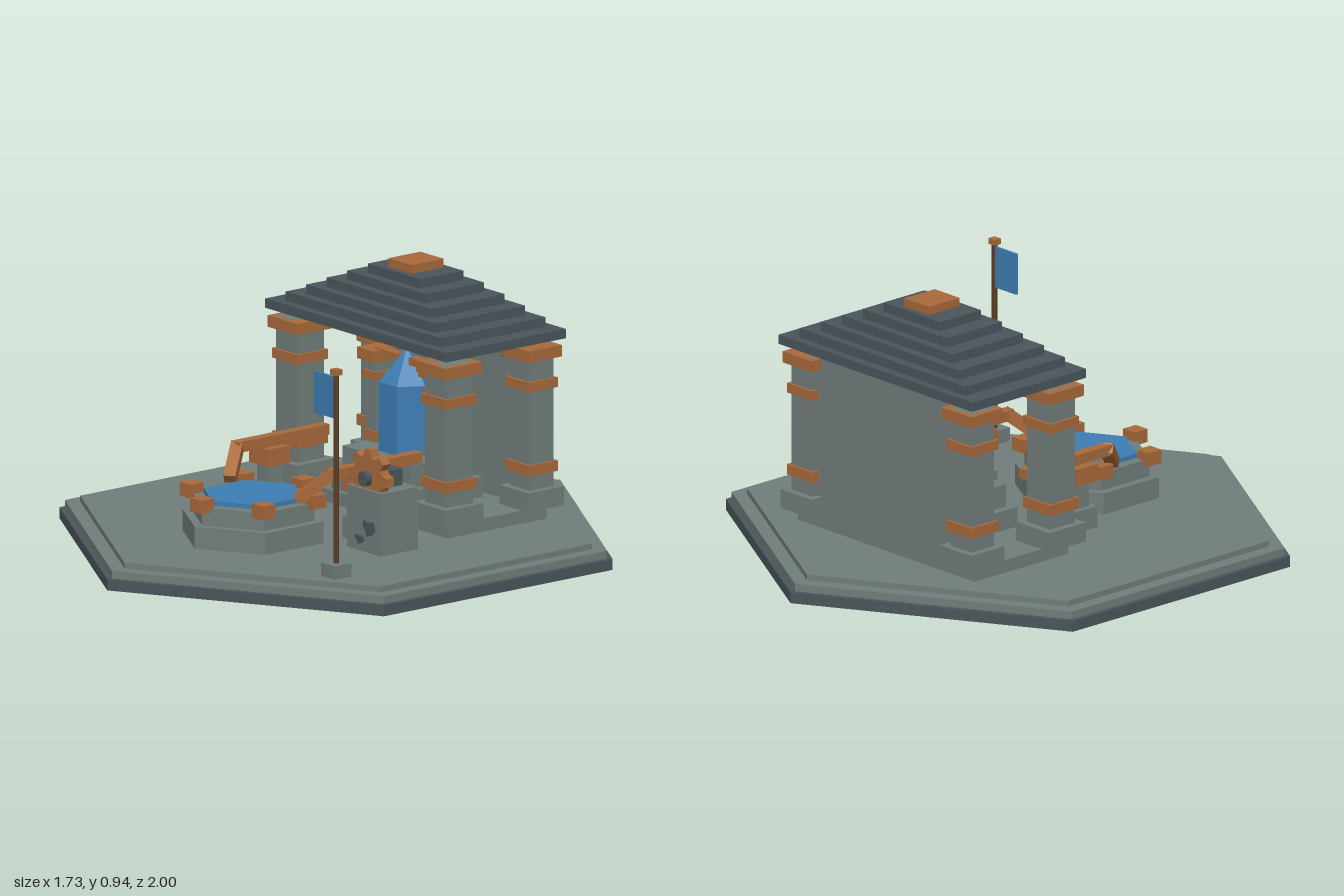
import * as THREE from 'three';

const mat = (name, color) => {
  const m = new THREE.MeshStandardMaterial({ color });
  m.name = name;
  return m;
};

export function createModel() {
  const stone = mat('grey stone', 0x717d7a);
  const slate = mat('dark slate', 0x4a555b);
  const copper = mat('copper', 0xa8693a);
  const blue = mat('blue', 0x3d7db3);
  const wood = mat('dark wood', 0x5c3c25);
  const model = new THREE.Group();
  model.name = 'shrine';

  const add = (name, geo, m, x = 0, y = 0, z = 0, parent = model) => {
    const mesh = new THREE.Mesh(geo, m);
    mesh.name = name;
    mesh.position.set(x, y, z);
    parent.add(mesh);
    return mesh;
  };
  // box standing between heights y0 and y1
  const box = (name, m, x, z, w, d, y0, y1, parent) =>
    add(name, new THREE.BoxGeometry(w, y1 - y0, d), m, x, (y0 + y1) / 2, z, parent);
  // faceted prism or cone between heights y0 and y1
  const prism = (name, m, x, z, rTop, rBottom, y0, y1, sides = 6, turn = 0) => {
    const g = new THREE.CylinderGeometry(rTop, rBottom, y1 - y0, sides).toNonIndexed();
    g.computeVertexNormals();
    g.rotateY(turn);
    return add(name, g, m, x, (y0 + y1) / 2, z);
  };
  const group = (name) => {
    const g = new THREE.Group();
    g.name = name;
    model.add(g);
    return g;
  };

  // hexagonal ground slabs
  prism('baseEdge', slate, 0, 0, 1, 1, 0, 0.038);
  prism('baseSlab', stone, 0, 0, 0.98, 0.98, 0.038, 0.065);
  prism('basePaving', stone, 0, 0, 0.925, 0.925, 0.065, 0.085);

  // shrine floor and back wall
  box('shrineFloor', stone, 0, -0.345, 0.88, 0.43, 0.085, 0.13);
  box('backWall', stone, 0, -0.535, 0.8, 0.05, 0.13, 0.716);

  // four banded columns
  for (const s of [-1, 1]) {
    for (const [z, w, k] of [[-0.168, 0.115, 1], [-0.53, 0.105, 0.93]]) {
      const col = group('column');
      const x = s * 0.397;
      box('columnBase', stone, x, z, 0.167 * k, 0.167 * k, 0.13, 0.197, col);
      box('columnShaft', stone, x, z, w, w, 0.197, 0.69, col);
      for (const [bw, y0, y1] of [[0.135, 0.25, 0.287], [0.135, 0.543, 0.577], [0.157, 0.65, 0.69]])
        box('columnBand', copper, x, z, bw * k, bw * k, y0, y1, col);
    }
  }

  // stepped roof
  const tier = 0.0325;
  for (let i = 0; i < 6; i++)
    box('roofTier', slate, 0, -0.348, 2 * (0.483 - i * 0.0685), 2 * (0.262 - i * 0.0336),
      0.715 + i * tier, 0.715 + (i + 1) * tier);
  box('roofCap', copper, 0, -0.35, 0.124, 0.14, 0.91, 0.94);

  // pedestal with crystal
  box('pedestalStep', stone, 0, -0.31, 0.42, 0.32, 0.13, 0.2);
  box('pedestal', stone, 0, -0.31, 0.36, 0.27, 0.2, 0.28);
  prism('crystalBody', blue, 0, -0.31, 0.097, 0.097, 0.28, 0.52, 6, Math.PI / 6);
  prism('crystalTip', blue, 0, -0.31, 0, 0.097, 0.52, 0.638, 6, Math.PI / 6);

  // slim posts and arms around the crystal
  for (const s of [-1, 1]) {
    const post = group('crystalPost');
    const x = s * 0.163;
    box('postShaft', stone, x, -0.31, 0.055, 0.05, 0.28, 0.57, post);
    box('postFoot', copper, x, -0.31, 0.065, 0.062, 0.285, 0.32, post);
    box('postBand', copper, x, -0.31, 0.068, 0.068, 0.5, 0.528, post);
    box('postCap', copper, x, -0.31, 0.092, 0.095, 0.565, 0.605, post);
    box('postArm', copper, s * 0.09, -0.31, 0.12, 0.035, 0.583, 0.61, post);
  }

  // hexagonal basin
  const bz = 0.363;
  prism('basinFoot', stone, 0, bz, 0.255, 0.255, 0.085, 0.16);
  prism('basinRim', stone, 0, bz, 0.222, 0.222, 0.16, 0.222);
  prism('water', blue, 0, bz, 0.178, 0.178, 0.22, 0.238);
  for (let i = 0; i < 6; i++) {
    const a = (i * Math.PI) / 3;
    box('basinBlock', copper, Math.sin(a) * 0.222, bz + Math.cos(a) * 0.222, 0.058, 0.058, 0.208, 0.255);
  }

  // water channels: pier, level beam and sloping chute on each side
  for (const s of [-1, 1]) {
    const ch = group('channel');
    box('pierFoot', stone, s * 0.25, 0.085, 0.1, 0.1, 0.085, 0.16, ch);
    box('pier', stone, s * 0.25, 0.085, 0.06, 0.06, 0.16, 0.25, ch);
    box('pierCap', copper, s * 0.25, 0.085, 0.1, 0.1, 0.25, 0.31, ch);
    box('beam', copper, s * 0.248, 0.04, 0.037, 0.4, 0.31, 0.347, ch);
    const from = new THREE.Vector3(s * 0.255, 0.335, 0.22);
    const to = new THREE.Vector3(s * 0.178, 0.242, 0.318);
    const chute = add('chute', new THREE.BoxGeometry(0.042, 0.036, from.distanceTo(to)), copper, 0, 0, 0, ch);
    chute.position.copy(from).lerp(to, 0.5);
    chute.lookAt(to);
  }

  // gear stand, bearing and axle
  box('gearStand', stone, 0.398, 0.122, 0.18, 0.163, 0.085, 0.303);
  box('bearing', slate, 0.4, 0.105, 0.07, 0.08, 0.303, 0.362);
  const axle = new THREE.CylinderGeometry(0.026, 0.026, 0.13, 10).rotateX(Math.PI / 2);
  add('axle', axle, slate, 0.4, 0.34, 0.147);

  // eight-toothed gear
  const gear = new THREE.Shape();
  for (let i = 0; i < 8; i++) {
    for (const [da, r] of [[-0.29, 0.078], [-0.15, 0.101], [0.15, 0.101], [0.29, 0.078]]) {
      const a = (i * Math.PI) / 4 + da;
      const p = [Math.cos(a) * r, Math.sin(a) * r];
      if (i === 0 && da === -0.29) gear.moveTo(...p);
      else gear.lineTo(...p);
    }
  }
  add('gear', new THREE.ExtrudeGeometry(gear, { depth: 0.034, bevelEnabled: false }), copper, 0.4, 0.34, 0.156);

  // thin irregular weathered patches
  const patch = (x, y, z, w, h) => {
    const pts = [[-0.5, 0.1], [-0.3, -0.1], [-0.15, -0.5], [0.2, -0.35], [0.5, 0], [0.35, 0.45], [-0.1, 0.35], [-0.35, 0.5]];
    const shape = new THREE.Shape(pts.map(([u, v]) => new THREE.Vector2(u * w, v * h)));
    add('weatheredPatch', new THREE.ExtrudeGeometry(shape, { depth: 0.004, bevelEnabled: false }), slate, x, y, z);
  };
  patch(0.425, 0.17, 0.202, 0.07, 0.06);
  patch(0.375, 0.125, 0.202, 0.05, 0.035);
  patch(-0.28, 0.385, -0.511, 0.05, 0.03);
  patch(-0.15, 0.4, -0.511, 0.08, 0.06);
  patch(-0.11, 0.48, -0.511, 0.05, 0.05);
  patch(0.27, 0.635, -0.511, 0.03, 0.02);

  // flag on its pole
  box('flagFoot', stone, 0.597, 0.488, 0.074, 0.074, 0.085, 0.132);
  prism('flagPole', wood, 0.597, 0.488, 0.01, 0.01, 0.13, 0.79, 8);
  box('flagPoleCap', copper, 0.597, 0.488, 0.032, 0.028, 0.788, 0.808);
  box('flag', blue, 0.539, 0.488, 0.108, 0.009, 0.635, 0.78);

  return model;
}
